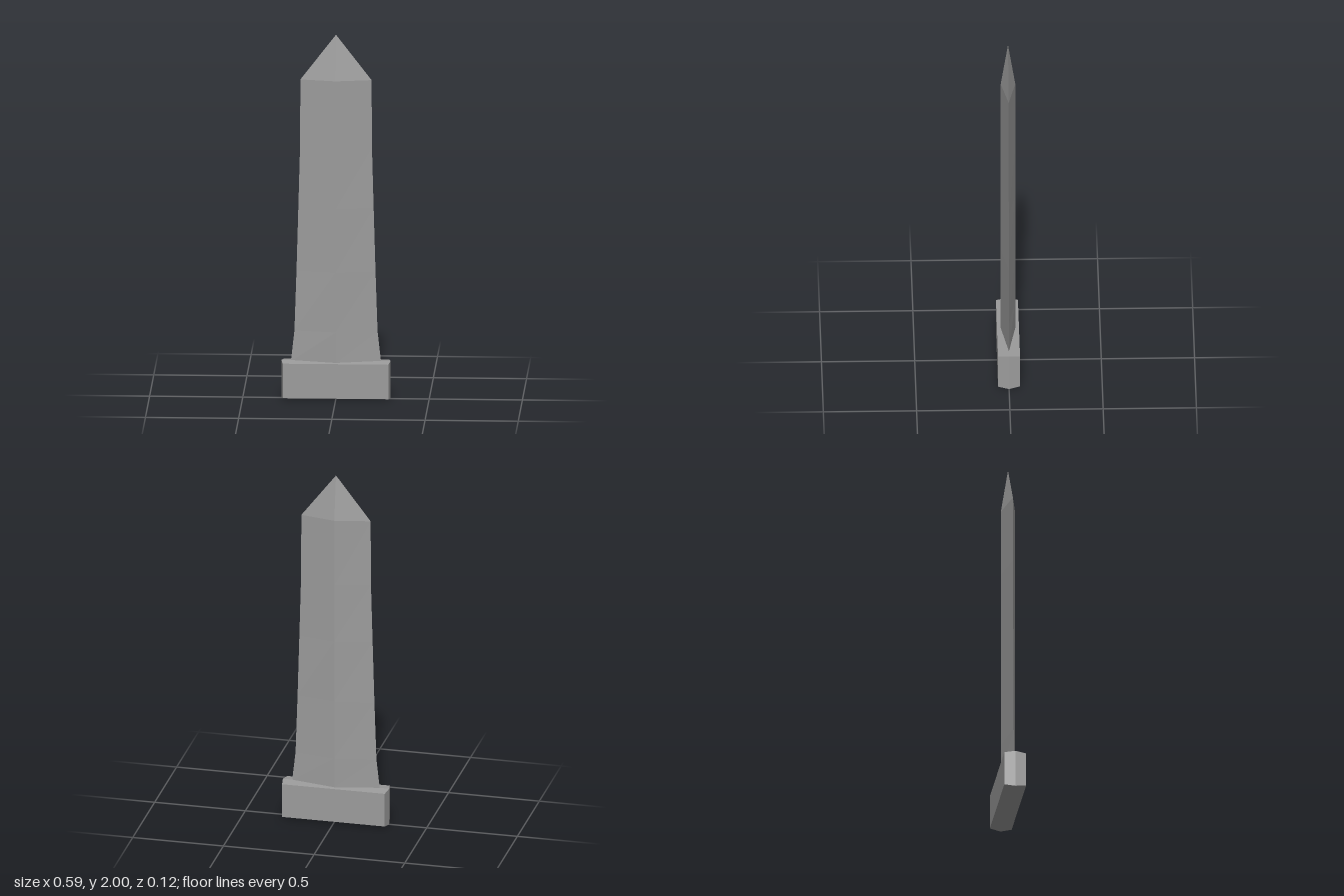
import * as THREE from 'three';

const steel = new THREE.MeshStandardMaterial({ color: 0x9b9b9b, flatShading: true });

function part(name, geometry) {
  const mesh = new THREE.Mesh(geometry, steel);
  mesh.name = name;
  return mesh;
}

// Skins a stack of matching four-cornered rings and caps both ends.
// Each ring runs counter-clockwise as seen from the far end of the stack.
function loft(rings) {
  const pos = [];
  const quad = (a, b, c, d) => pos.push(...a, ...b, ...c, ...a, ...c, ...d);
  for (let i = 0; i < rings.length - 1; i++) {
    for (let j = 0; j < 4; j++) {
      const k = (j + 1) % 4;
      quad(rings[i][j], rings[i][k], rings[i + 1][k], rings[i + 1][j]);
    }
  }
  const [a, b, c, d] = rings[0];
  quad(d, c, b, a);
  quad(...rings[rings.length - 1]);
  const geometry = new THREE.BufferGeometry();
  geometry.setAttribute('position', new THREE.Float32BufferAttribute(pos, 3));
  geometry.computeVertexNormals();
  return geometry;
}

export function createModel() {
  const group = new THREE.Group();
  group.name = 'daggerBlade';
  const depth = 0.039;
  const shoulder = 1.752;

  // Blade: diamond cross-sections [height, half width], flared at the root
  const profile = [
    [0.15, 0.247], [0.2, 0.242], [0.37, 0.223], [0.7, 0.212],
    [1.05, 0.202], [1.38, 0.193], [shoulder, 0.191],
  ];
  group.add(part('blade', loft(profile.map(([y, w]) => [
    [w, y, 0], [0, y, -depth], [-w, y, 0], [0, y, depth],
  ]))));

  // Tip: flattened four-sided point
  const tipHeight = 2 - shoulder;
  const tip = new THREE.ConeGeometry(1, tipHeight, 4, 1, true);
  tip.scale(0.191, 1, depth);
  tip.translate(0, shoulder + tipHeight / 2, 0);
  group.add(part('bladeTip', tip));

  // Guard: bar with a shallow ridge running all round its middle
  const guardRing = (z, w, y0, y1) => [[-w, y0, z], [w, y0, z], [w, y1, z], [-w, y1, z]];
  group.add(part('guard', loft([
    guardRing(-0.059, 0.283, 0.01, 0.2),
    guardRing(0, 0.293, 0, 0.207),
    guardRing(0.059, 0.283, 0.01, 0.2),
  ])));

  return group;
}
